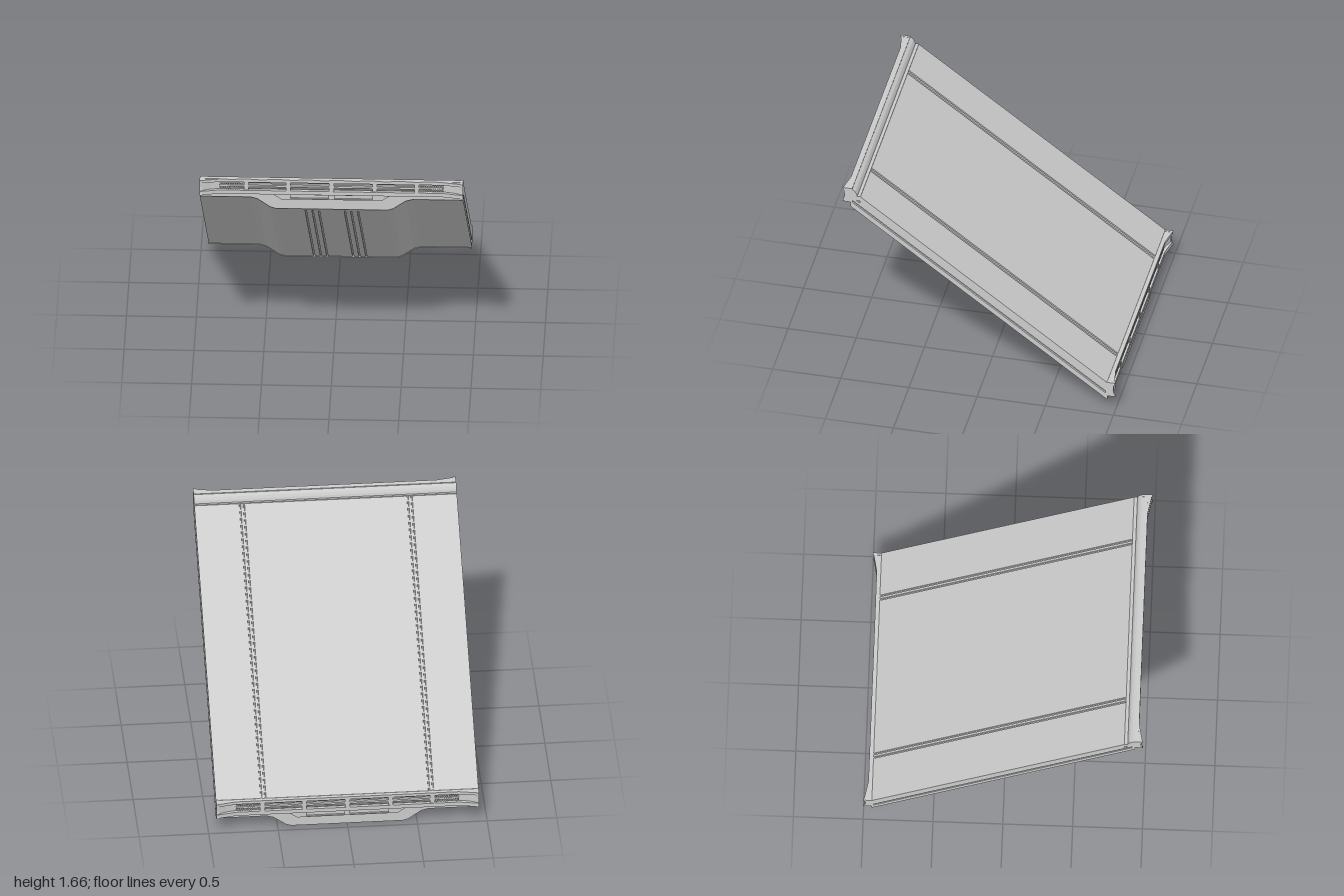
import * as THREE from 'three';

const HALF = 0.943;          // half width
const SLOPE = 0.749;         // rise of the panel per unit of z
const END = 0.93;            // where the sheared body stops
const mat = new THREE.MeshStandardMaterial({ color: 0xcccccc, flatShading: true, side: THREE.DoubleSide });

const shapeOf = pts => new THREE.Shape(pts.map(p => new THREE.Vector2(p[0], p[1])));
const extrude = (shape, depth) => new THREE.ExtrudeGeometry(shape, { depth, bevelEnabled: false });

function add(parent, name, geo) {
  const mesh = new THREE.Mesh(geo, mat);
  mesh.name = name;
  parent.add(mesh);
  return mesh;
}
function box(parent, name, x0, x1, y0, y1, z0, z1) {
  const m = add(parent, name, new THREE.BoxGeometry(x1 - x0, y1 - y0, z1 - z0));
  m.position.set((x0 + x1) / 2, (y0 + y1) / 2, (z0 + z1) / 2);
}
// plan outline (x, z) raised from y0 to y1
const plan = (pts, y0, y1) => extrude(shapeOf(pts), y1 - y0).rotateX(Math.PI / 2).translate(0, y1, 0);
// side profile (z, y) stretched from x0 to x1
const side = (pts, x0, x1) => extrude(shapeOf(pts), x1 - x0).rotateY(-Math.PI / 2).translate(x1, 0, 0);

// right half of the underside, from the middle outwards
const belly = [[0.40, 0], [0.44, 0.012], [0.49, 0.048], [0.53, 0.076], [0.58, 0.09], [HALF, 0.09]];

// closed cross-section of the panel, optionally with its grooves
function section(top, grooved) {
  const half = [];
  if (grooved) for (const x of [0.093, 0.138, 0.187])
    half.push([x - 0.005, 0], [x - 0.004, 0.01], [x + 0.004, 0.01], [x + 0.005, 0]);
  half.push(...belly);
  half.push([HALF, 0.137], [HALF - 0.01, 0.14], [HALF - 0.01, 0.152], [HALF, 0.155]);
  half.push([HALF, top]);
  if (grooved) for (const x of [0.616, 0.588])
    half.push([x + 0.006, top], [x + 0.004, top - 0.012], [x - 0.004, top - 0.012], [x - 0.006, top]);
  const mirrored = half.map(([x, y]) => [-x, y]).reverse();
  return shapeOf([...half, ...mirrored]);
}

// extrude a section along z, then shear it up the slope
function slopedPiece(shape, z0, z1) {
  const geo = extrude(shape, z1 - z0).translate(0, 0, z0);
  const p = geo.attributes.position;
  for (let i = 0; i < p.count; i++) p.setY(i, p.getY(i) + SLOPE * (p.getZ(i) + 0.94) + 0.003);
  geo.computeVertexNormals();
  return geo;
}

// connector frame on one end; y = 0 is the lowest edge of the panel there
function endFrame() {
  const g = new THREE.Group();

  // lower end plate with the drop in the middle and two slots
  const outline = belly.slice();
  outline.push([HALF, 0.2]);
  const plate = shapeOf([...outline, ...outline.map(([x, y]) => [-x, y]).reverse()]);
  add(g, 'endPlate', extrude(plate, 0.015).translate(0, 0, END - 0.002));

  // lip with slots
  const lip = shapeOf([[-0.36, 0.075], [0.36, 0.075], [0.43, 0.122], [-0.43, 0.122]]);
  for (const s of [-1, 1]) {
    const hole = new THREE.Path();
    hole.moveTo(s * 0.02, 0.082).lineTo(s * 0.295, 0.082).lineTo(s * 0.295, 0.112).lineTo(s * 0.02, 0.112).closePath();
    lip.holes.push(hole);
  }
  add(g, 'slottedLip', extrude(lip, 0.014).translate(0, 0, 0.943));

  // rails that flare outwards at both ends
  const rail = (front, out) => [[-HALF, 0.93], [HALF, 0.93], [HALF, out], [0.8, front], [-0.8, front], [-HALF, out]];
  add(g, 'topRail', plan(rail(0.97, 0.998), 0.216, 0.238));
  add(g, 'bottomRail', plan(rail(0.97, 0.998), 0.12, 0.15));
  box(g, 'recessWall', -0.9, 0.9, 0.14, 0.225, 0.93, 0.946);

  // thin bars inside the opening
  box(g, 'middleBar', -0.8, 0.8, 0.176, 0.19, 0.945, 0.964);
  for (const y of [0.158, 0.204]) box(g, 'thinBar', -0.8, 0.8, y, y + 0.005, 0.945, 0.957);
  for (const x of [-0.61, -0.31, 0, 0.31, 0.61])
    box(g, 'divider', x - 0.017, x + 0.017, 0.15, 0.216, 0.945, 0.967);

  for (const s of [-1, 1]) {
    // concave cheek and the funnel that leads into the opening
    const cheek = [[0.93, 0.12], [1, 0.12], [0.989, 0.145], [0.986, 0.18], [0.989, 0.215], [1, 0.24], [0.93, 0.24]];
    add(g, 'cheek', side(cheek, s > 0 ? HALF - 0.018 : -HALF, s > 0 ? HALF : -HALF + 0.018));
    add(g, 'funnel', plan([[s * 0.93, 0.935], [s * 0.93, 0.984], [s * 0.87, 0.96], [s * 0.8, 0.946], [s * 0.8, 0.935]], 0.15, 0.216));
    // grille fins
    for (let i = 0; i < 10; i++) {
      const x = s * (0.64 + i * 0.016);
      box(g, 'grilleFin', x - 0.003, x + 0.003, 0.155, 0.212, 0.945, 0.96);
    }
  }
  return g;
}

export function createModel() {
  const model = new THREE.Group();
  model.name = 'slopedPanel';

  // panel body and its lowered front end under the roll
  add(model, 'panelBody', slopedPiece(section(0.24, true), -0.94, 0.87));
  add(model, 'panelFrontEnd', slopedPiece(section(0.18, false), 0.87, END + 0.01));

  // identical frames on the high front and low back ends
  const front = endFrame();
  front.name = 'frontFrame';
  front.position.y = 1.42;
  const back = endFrame();
  back.name = 'backFrame';
  back.rotation.y = Math.PI;
  back.position.y = 0.004;
  model.add(front, back);

  // rounded roll over the upper edge
  const roll = [[0.868, 1.56], [0.868, 1.602], [0.892, 1.598], [0.897, 1.618], [0.908, 1.637], [0.924, 1.65],
    [0.942, 1.658], [0.968, 1.66], [0.968, 1.636], [0.94, 1.63], [0.94, 1.56]];
  add(model, 'edgeRoll', side(roll, -HALF, HALF));
  return model;
}
